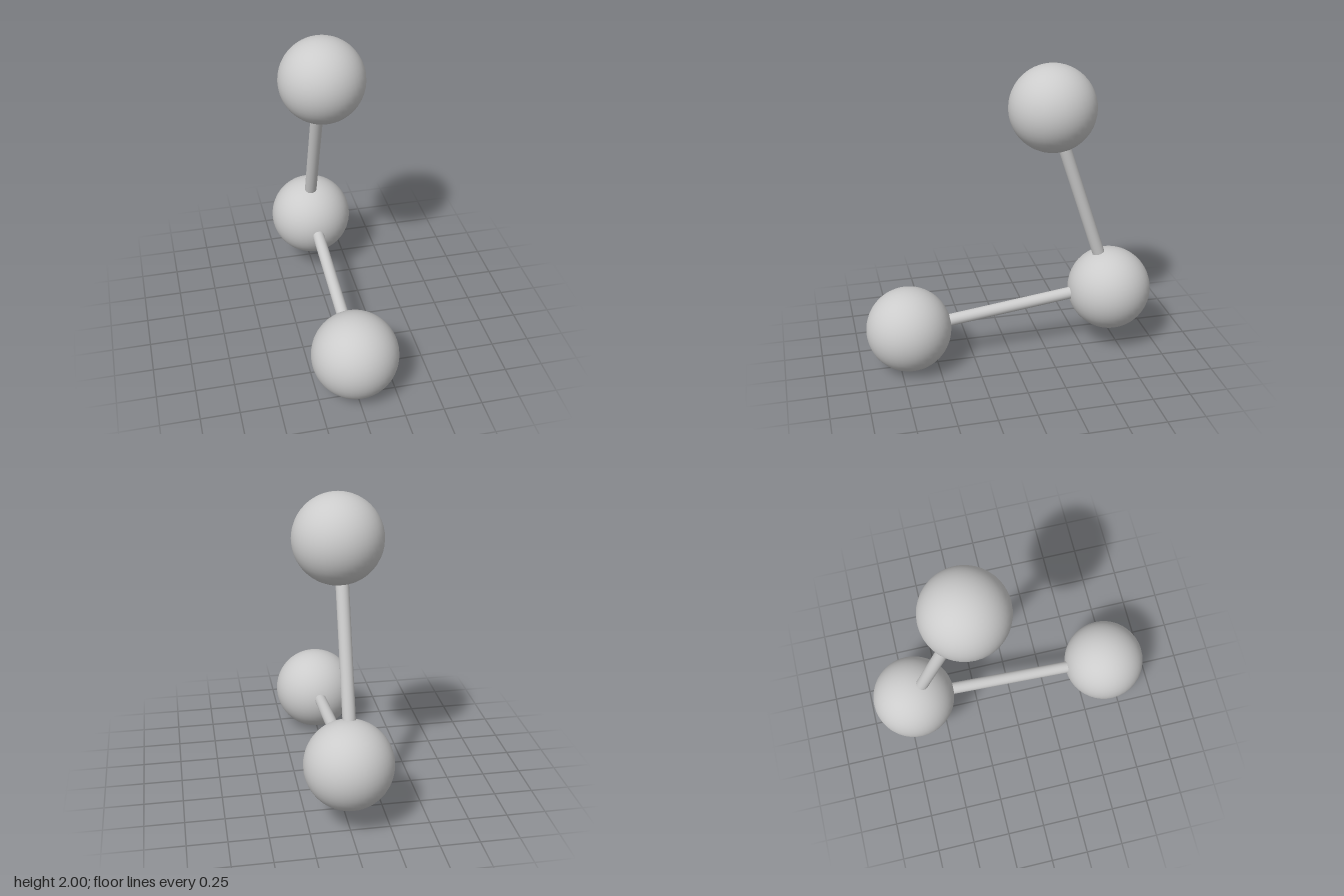
import * as THREE from 'three';

const material = new THREE.MeshStandardMaterial({ color: 0xcccccc });

// Ball of the shared radius at a centre point
function ball(name, x, y, z) {
  const mesh = new THREE.Mesh(new THREE.SphereGeometry(0.278, 40, 24), material);
  mesh.name = name;
  mesh.position.set(x, y, z);
  return mesh;
}

// Round rod running between two points
function rod(name, from, to, radius) {
  const a = new THREE.Vector3(...from);
  const b = new THREE.Vector3(...to);
  const direction = b.clone().sub(a);
  const mesh = new THREE.Mesh(
    new THREE.CylinderGeometry(radius, radius, direction.length(), 20), material);
  mesh.name = name;
  mesh.position.copy(a).lerp(b, 0.5);
  mesh.quaternion.setFromUnitVectors(new THREE.Vector3(0, 1, 0), direction.normalize());
  return mesh;
}

export function createModel() {
  const model = new THREE.Group();
  model.name = 'ballAndStickModel';
  model.add(
    // Three balls: one in front, one at the rear joint, one on top
    ball('frontBall', 0, 0.281, 0.683),
    ball('jointBall', 0, 0.428, -0.683),
    ball('topBall', 0, 1.722, -0.27),
    // Two connecting rods, with their ends buried in the balls
    rod('lowerRod', [0, 0.289, 0.59], [0, 0.438, -0.59], 0.04),
    rod('upperRod', [-0.013, 0.5, -0.669], [-0.013, 1.65, -0.289], 0.041)
  );
  return model;
}
